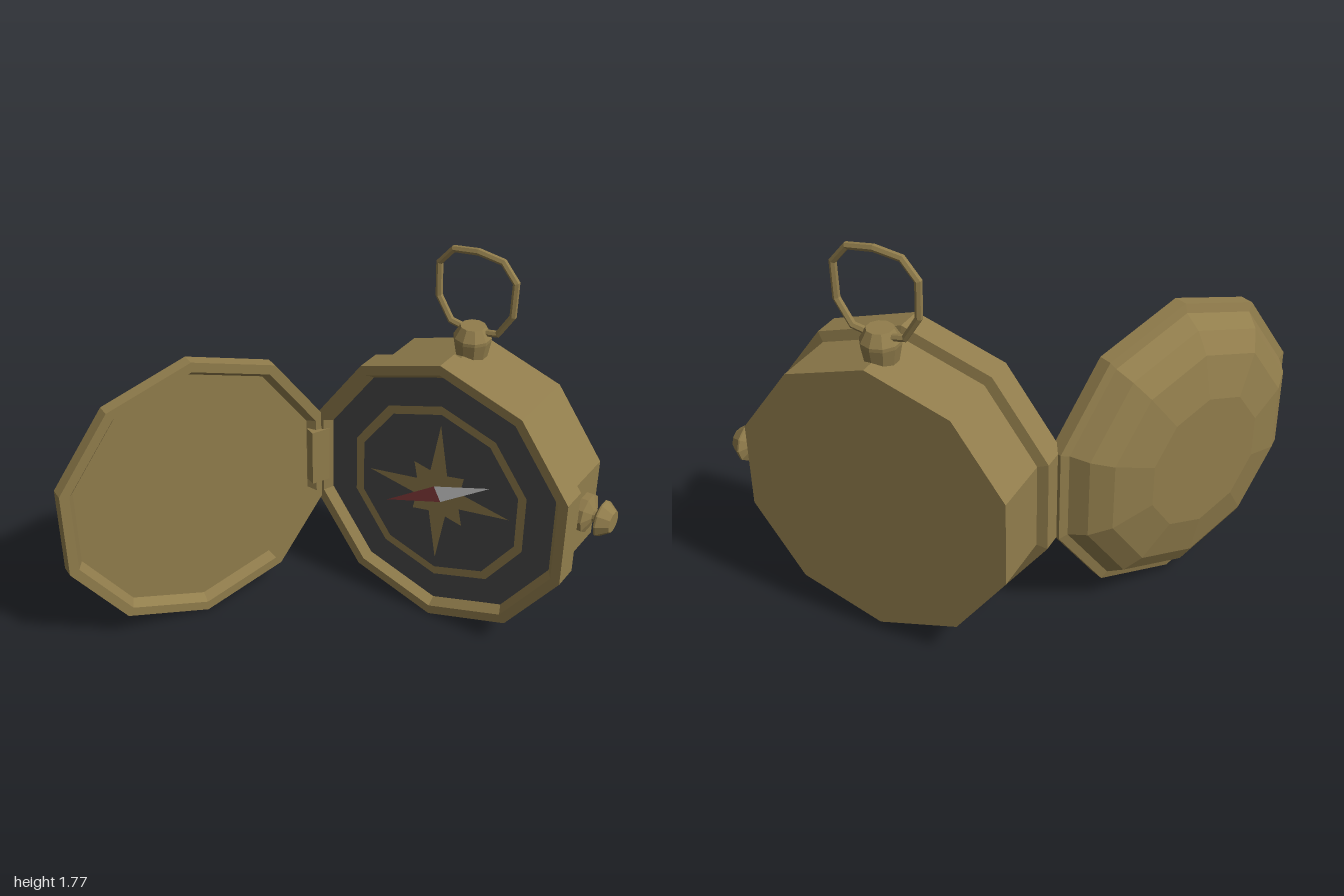
import * as THREE from 'three';

const mat = (name, color, extra = {}) => {
  const m = new THREE.MeshStandardMaterial({ color, flatShading: true, ...extra });
  m.name = name;
  return m;
};

export function createModel() {
  const brass = mat('brass', 0x917d4c);
  const dark = mat('dialGrey', 0x484848);
  const white = mat('needleWhite', 0xe5e5e5);
  const red = mat('needleRed', 0x8d4040);

  const root = new THREE.Group();
  const CX = 0.255, CY = 0.675, DIAL = -0.41;

  const add = (parent, name, geo, material, x = 0, y = 0, z = 0) => {
    const m = new THREE.Mesh(geo, material);
    m.name = name;
    m.position.set(x, y, z);
    parent.add(m);
    return m;
  };
  // faceted solid of revolution about y, profile given as [radius, height]
  const lathe = (pts, sides) =>
    new THREE.LatheGeometry(pts.map(([r, h]) => new THREE.Vector2(r, h)), sides);
  const flatShape = (pts) => new THREE.ShapeGeometry(new THREE.Shape(pts.map(([x, y]) => new THREE.Vector2(x, y))));
  const polar = (r, a) => [r * Math.cos(a), r * Math.sin(a)];

  // ---- case with raised rim, open to the front
  add(root, 'case', lathe([
    [0, -0.775], [0.628, -0.775], [0.628, -0.5], [0.675, -0.49],
    [0.675, -0.37], [0.628, -0.37], [0.598, DIAL],
  ], 10).rotateX(Math.PI / 2), brass, CX, CY);

  // ---- dial face, ring and compass rose
  const dial = new THREE.Group();
  dial.name = 'dial';
  dial.position.set(CX, CY, DIAL);
  root.add(dial);
  add(dial, 'dialFace', new THREE.CircleGeometry(0.6, 10, Math.PI / 2), dark);
  add(dial, 'dialRing', new THREE.RingGeometry(0.415, 0.457, 10, 1, Math.PI / 2), brass, 0, 0, 0.005);
  const star = [];
  for (let i = 0; i < 8; i++) {
    const a = (i * Math.PI) / 4;
    star.push(polar(i % 2 ? 0.18 : 0.36, a), polar(0.118, a + (i % 2 ? 1 : -1) * 0.02 + Math.PI / 8));
  }
  add(dial, 'compassRose', flatShape(star), brass, 0, 0, 0.005);

  // ---- two-coloured needle
  const needle = new THREE.Group();
  needle.name = 'needle';
  needle.position.z = 0.012;
  needle.rotation.z = 0.47;
  dial.add(needle);
  add(needle, 'needleWhiteHalf', flatShape([[0, -0.04], [0.293, 0], [0, 0.04]]), white);
  add(needle, 'needleRedHalf', flatShape([[0, 0.04], [-0.293, 0], [0, -0.04]]), red);

  // ---- domed lid, swung open on the hinge side
  const lid = new THREE.Group();
  lid.name = 'lid';
  lid.position.set(-0.624, CY, 0.194);
  lid.rotation.y = Math.atan2(0.9026, 0.4305);
  root.add(lid);
  add(lid, 'lidShell', lathe([
    [0, -0.235], [0.306, -0.235], [0.495, -0.195], [0.585, -0.14], [0.635, -0.07],
    [0.675, -0.06], [0.675, 0], [0.628, 0], [0.598, -0.04], [0, -0.04],
  ], 10).rotateX(Math.PI / 2), brass);

  // ---- hinge block
  const hinge = add(root, 'hinge', new THREE.BoxGeometry(0.09, 0.28, 0.05), brass, -0.367, 0.68, -0.362);
  hinge.rotation.y = lid.rotation.y;

  // ---- side knob
  add(root, 'sideKnob', lathe([
    [0.09, 0], [0.09, 0.035], [0.03, 0.06], [0.03, 0.07], [0.085, 0.093], [0.085, 0.1], [0.05, 0.15], [0, 0.15],
  ], 10).rotateZ(-Math.PI / 2), brass, 0.85, 0.68, -0.642);

  // ---- top knob
  add(root, 'topKnob', lathe([
    [0.07, 0], [0.084, 0.075], [0.084, 0.09], [0.056, 0.14], [0, 0.14],
  ], 10), brass, CX, 1.28, -0.642);

  // ---- hanging ring, one straight piece per path point
  const half = [[0.118, 0.168], [0.184, 0.09], [0.18, -0.065], [0.115, -0.168]];
  const loop = [[0, 0.184], ...half, [0, -0.19], ...half.map(([x, y]) => [-x, y]).reverse()];
  const path = new THREE.CatmullRomCurve3(loop.map(([x, y]) => new THREE.Vector3(x, y, 0)), true);
  path.getPointAt = path.getPoint;
  path.getTangentAt = path.getTangent;
  add(root, 'hangingRing', new THREE.TubeGeometry(path, loop.length, 0.016, 6, true), brass, CX, 1.576, -0.652);

  return root;
}
